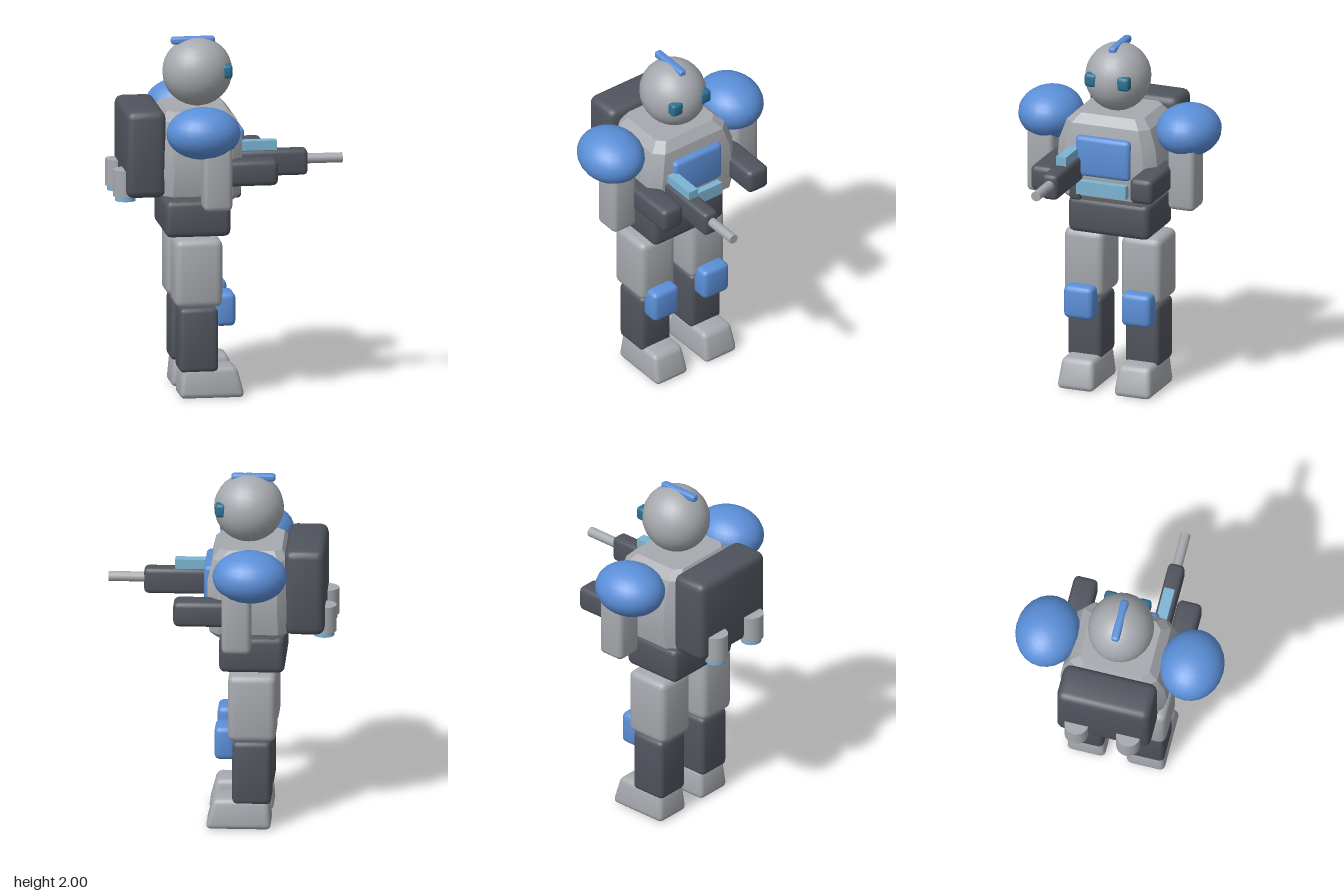
import * as THREE from 'three';
import { RoundedBoxGeometry } from 'three/addons/geometries/RoundedBoxGeometry.js';
import { toCreasedNormals } from 'three/addons/utils/BufferGeometryUtils.js';

const paint = (name, color) => {
  const m = new THREE.MeshStandardMaterial({ color });
  m.name = name;
  return m;
};

export function createModel() {
  const model = new THREE.Group();
  model.name = 'robotSoldier';
  const grey = paint('lightGrey', 0xa6a9ae);
  const dark = paint('darkGrey', 0x50545d);
  const blue = paint('blue', 0x5b8fd8);
  const pale = paint('paleBlue', 0x7cb4d3);
  const teal = paint('teal', 0x2b7090);

  const add = (name, geometry, material, x = 0, y = 0, z = 0) => {
    const mesh = new THREE.Mesh(geometry, material);
    mesh.name = name;
    mesh.position.set(x, y, z);
    model.add(mesh);
    return mesh;
  };
  // Bevelled box given by its extents; an optional rule moves its vertices
  const block = (name, material, [x0, x1], [y0, y1], [z0, z1], r, rule) => {
    let g = new RoundedBoxGeometry(x1 - x0, y1 - y0, z1 - z0, 2, r);
    if (rule) {
      const p = g.attributes.position, v = new THREE.Vector3();
      for (let i = 0; i < p.count; i++) {
        rule(v.fromBufferAttribute(p, i));
        p.setXYZ(i, v.x, v.y, v.z);
      }
    }
    g = toCreasedNormals(g, 0.5);
    return add(name, g, material, (x0 + x1) / 2, (y0 + y1) / 2, (z0 + z1) / 2);
  };
  const ellipsoid = (name, material, x, y, z, rx, ry, rz) =>
    add(name, new THREE.SphereGeometry(1, 24, 16).scale(rx, ry, rz), material, x, y, z);

  // Torso: chamfered rectangles stacked upward [y, back, front, half width, chamfer]
  const rings = [
    [1.11, -0.34, 0.02, 0.245, 0.04],
    [1.15, -0.375, 0.06, 0.285, 0.05],
    [1.27, -0.38, 0.07, 0.305, 0.06],
    [1.45, -0.38, 0.07, 0.29, 0.06],
    [1.565, -0.37, 0.045, 0.25, 0.05],
    [1.615, -0.34, 0.0, 0.2, 0.04],
  ].map(([y, a, b, w, c]) => [
    [b, w - c], [b - c, w], [a + c, w], [a, w - c],
    [a, c - w], [a + c, -w], [b - c, -w], [b, c - w],
  ].map(([x, z]) => [x, y, z]));
  const pos = [];
  const n = 8, last = rings.length - 1;
  for (let i = 0; i < n; i++) {
    const j = (i + 1) % n;
    for (let k = 0; k < last; k++) {
      const lo = rings[k], hi = rings[k + 1];
      pos.push(...lo[i], ...hi[i], ...lo[j], ...lo[j], ...hi[i], ...hi[j]);
    }
    pos.push(-0.16, 1.11, 0, ...rings[0][i], ...rings[0][j]);
    pos.push(-0.16, 1.615, 0, ...rings[last][j], ...rings[last][i]);
  }
  const torso = new THREE.BufferGeometry();
  torso.setAttribute('position', new THREE.Float32BufferAttribute(pos, 3));
  add('torso', toCreasedNormals(torso, 0.4), grey);

  // Chest details and pelvis
  block('chestPlate', blue, [0, 0.094], [1.273, 1.506], [-0.164, 0.164], 0.025);
  add('chestStrip', new THREE.BoxGeometry(0.09, 0.077, 0.296), pale, 0.063, 1.211, 0);
  block('pelvis', dark, [-0.357, 0.008], [0.907, 1.116], [-0.243, 0.243], 0.035);

  // Head with crest
  ellipsoid('head', grey, -0.148, 1.803, 0, 0.195, 0.192, 0.183);
  block('headCrest', blue, [-0.296, -0.05], [1.957, 2.0], [-0.023, 0.023], 0.016);

  // Backpack
  block('backpack', dark, [-0.58, -0.358], [1.14, 1.633], [-0.268, 0.268], 0.045);

  // Rifle
  block('rifleBody', dark, [-0.03, 0.442], [1.238, 1.386], [0.126, 0.22], 0.025);
  block('rifleGrip', dark, [0, 0.07], [1.118, 1.26], [0.139, 0.21], 0.02);
  add('rifleSight', new THREE.BoxGeometry(0.22, 0.055, 0.06), pale, 0.16, 1.41, 0.172);
  const barrel = new THREE.CylinderGeometry(0.028, 0.028, 0.26, 14).rotateZ(Math.PI / 2);
  add('rifleBarrel', barrel, grey, 0.51, 1.325, 0.172);

  // Mirrored parts
  for (const s of [1, -1]) {
    const span = (a, b) => (s > 0 ? [a, b] : [-b, -a]);
    const side = s > 0 ? 'Left' : 'Right';

    block('eye' + side, teal, [-0.026, 0.034], [1.778, 1.858], span(0.058, 0.134), 0.02);

    ellipsoid('shoulder' + side, blue, -0.173, 1.535, s * 0.413, 0.207, 0.145, 0.179);
    block('upperArm' + side, grey, [-0.182, -0.02], [1.103, 1.53], span(0.344, 0.503), 0.03);
    block('forearm' + side, dark, [-0.13, 0.256], [1.213, 1.358], span(0.228, 0.366), 0.03);

    add('thruster' + side, new THREE.CylinderGeometry(0.068, 0.068, 0.15, 20), grey, -0.575, 1.215, s * 0.148);
    add('thrusterGlow' + side, new THREE.CylinderGeometry(0.058, 0.058, 0.03, 20), pale, -0.573, 1.128, s * 0.148);

    block('thigh' + side, grey, [-0.31, -0.044], [0.515, 0.903], span(0.053, 0.291), 0.04);
    block('shin' + side, dark, [-0.284, -0.066], [0.145, 0.514], span(0.07, 0.276), 0.03);
    block('knee' + side, blue, [-0.085, 0.032], [0.402, 0.592], span(0.085, 0.261), 0.03);
    // Foot narrows upward and its toe slopes back
    block('foot' + side, grey, [-0.284, 0.083], [0.0, 0.174], span(0.058, 0.282), 0.03, (v) => {
      const t = (v.y + 0.087) / 0.174;
      v.z *= 1 - 0.15 * t;
      v.x -= (v.x > 0 ? 0.045 : -0.015) * t;
    });
  }
  return model;
}
